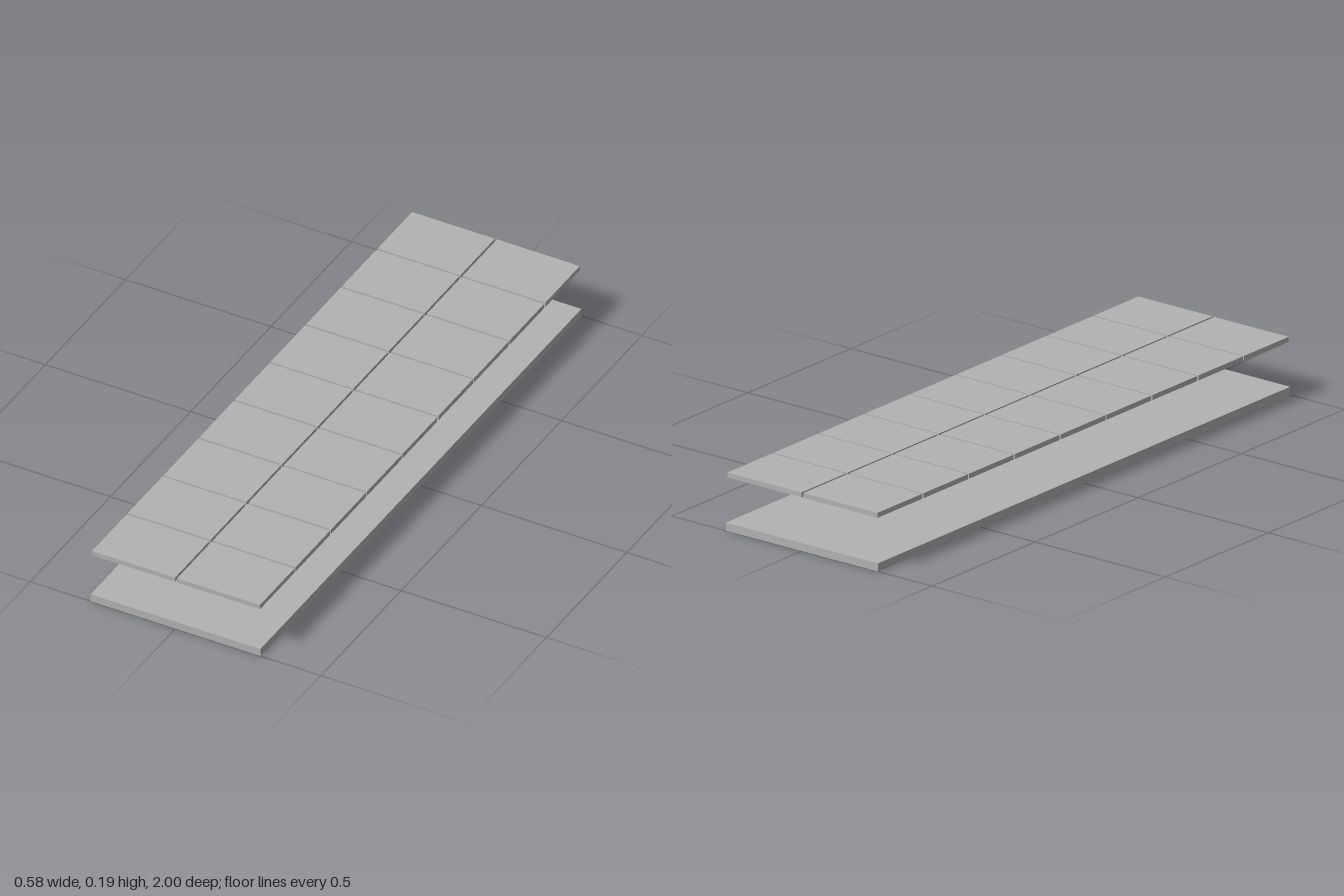
import * as THREE from 'three';

export function createModel() {
  const model = new THREE.Group();
  const grey = new THREE.MeshStandardMaterial({ color: 0xb3b3b3 });
  grey.name = 'plain grey';

  // Solid slab resting on the ground
  const baseHeight = 0.026;
  const base = new THREE.Mesh(new THREE.BoxGeometry(0.584, baseHeight, 2), grey);
  base.name = 'baseSlab';
  base.position.y = baseHeight / 2;
  model.add(base);

  // Floating deck: two columns of nine panels with narrow gaps
  const rows = 9;
  const pitchX = 0.292;
  const pitchZ = 2 / rows;
  const gap = 0.007;
  const panelHeight = 0.016;
  const panelGeometry = new THREE.BoxGeometry(pitchX - gap, panelHeight, pitchZ - gap);
  const deck = new THREE.Group();
  deck.name = 'panelDeck';
  deck.position.y = 0.178;
  for (const side of [-1, 1]) {
    for (let row = 0; row < rows; row++) {
      const panel = new THREE.Mesh(panelGeometry, grey);
      panel.name = `${side > 0 ? 'left' : 'right'}Panel${row + 1}`;
      panel.position.set(side * pitchX / 2, 0, (row - (rows - 1) / 2) * pitchZ);
      deck.add(panel);
    }
  }
  model.add(deck);
  return model;
}
